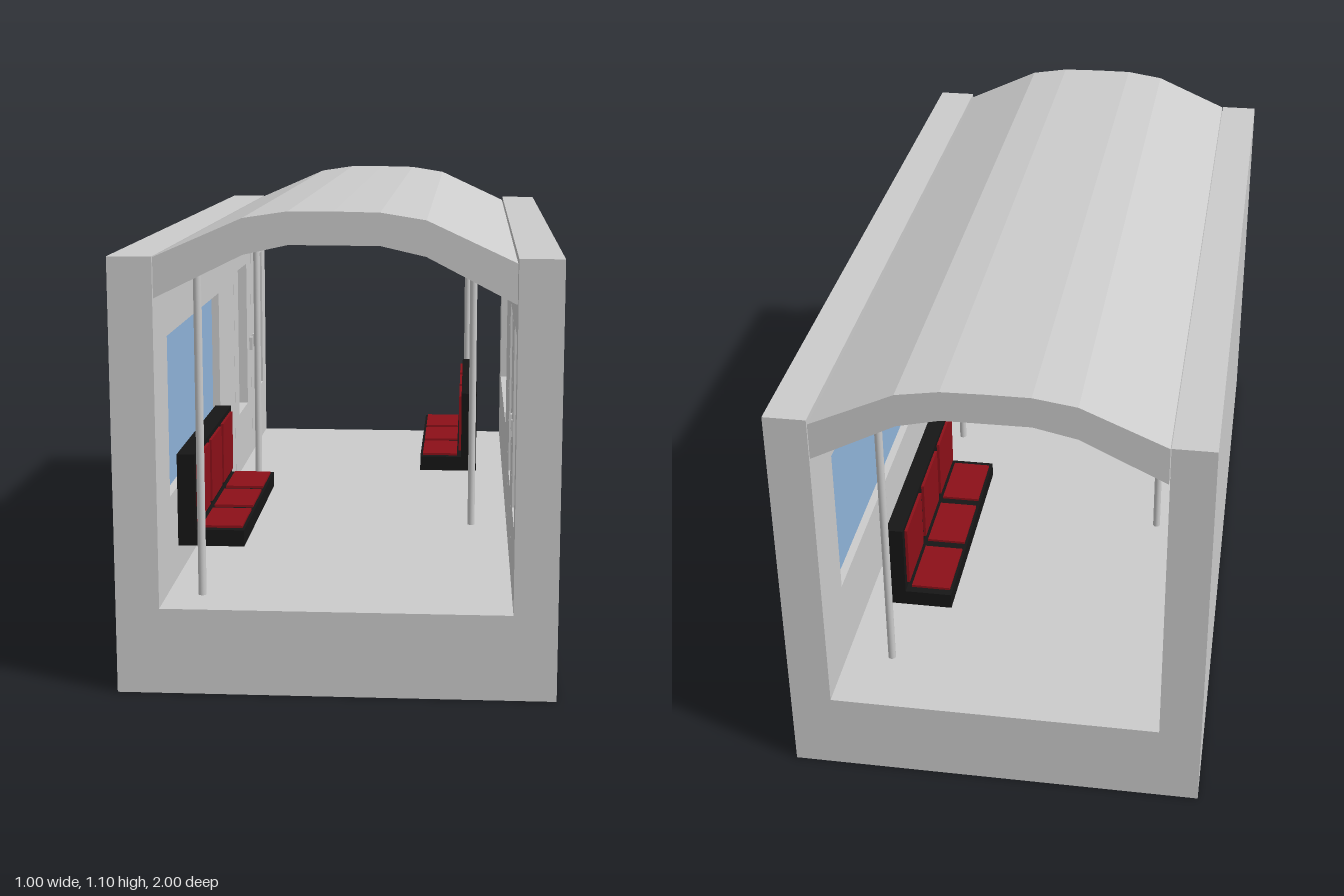
import * as THREE from 'three';

const mat = (color) => new THREE.MeshStandardMaterial({ color });

export function createModel() {
  const grey = mat(0xcccccc), black = mat(0x161616), red = mat(0x8c1018), glass = mat(0x8fb4da);
  const model = new THREE.Group();
  model.name = 'trainCarSection';

  const add = (parent, name, geo, material) => {
    const mesh = new THREE.Mesh(geo, material);
    mesh.name = name;
    parent.add(mesh);
    return mesh;
  };
  // box given by its limits on each axis
  const box = (parent, name, material, [x0, x1], [y0, y1], [z0, z1]) => {
    const mesh = add(parent, name, new THREE.BoxGeometry(x1 - x0, y1 - y0, z1 - z0), material);
    mesh.position.set((x0 + x1) / 2, (y0 + y1) / 2, (z0 + z1) / 2);
    return mesh;
  };
  const rectHole = ([z0, z1], [y0, y1]) => {
    const p = new THREE.Path();
    p.moveTo(z0, y0);
    p.lineTo(z0, y1);
    p.lineTo(z1, y1);
    p.lineTo(z1, y0);
    p.closePath();
    return p;
  };

  box(model, 'floor', grey, [-0.5, 0.5], [0, 0.2], [-1, 1]);

  // arched roof
  const roof = new THREE.Shape([
    [-0.398, 0.908], [-0.2, 1.005], [-0.1, 1.027], [0.1, 1.026], [0.2, 1.003], [0.398, 0.9],
    [0.398, 0.99], [0.2, 1.082], [0.1, 1.098], [0, 1.1], [-0.1, 1.1], [-0.2, 1.085], [-0.398, 0.999],
  ].map(([x, y]) => new THREE.Vector2(x, y)));
  const roofGeo = new THREE.ExtrudeGeometry(roof, { depth: 2, bevelEnabled: false });
  roofGeo.translate(0, 0, -1);
  add(model, 'roof', roofGeo, grey);

  // bench of three seats, back against x = -0.4
  const bench = (parent, z0, shift) => {
    const seat = new THREE.Group();
    seat.name = 'bench';
    seat.position.set(shift, 0, z0);
    parent.add(seat);
    box(seat, 'benchBase', black, [-0.4, -0.24], [0.275, 0.315], [0, 0.61]);
    box(seat, 'benchBack', black, [-0.4, -0.357], [0.315, 0.5], [0, 0.61]);
    for (let i = 0; i < 3; i++) {
      const z = [0.02 + i * 0.2, 0.19 + i * 0.2];
      box(seat, 'seatCushion', red, [-0.345, -0.247], [0.31, 0.321], z);
      box(seat, 'backCushion', red, [-0.36, -0.35], [0.33, 0.488], z);
    }
  };

  // one side of the car, modelled on -x with the doors at the back
  const buildSide = (name, { benchZ, benchShift, poles, handleDepth }) => {
    const side = new THREE.Group();
    side.name = name;
    model.add(side);
    const windowZ = [0.04, 0.835], windowY = [0.42, 0.8];
    const doorY = [0.38, 0.82], doorZ = [[-0.92, -0.73], [-0.535, -0.345]];

    // outer skin, and an inner lining with window pockets and door seams
    box(side, 'outerWall', grey, [-0.5, -0.45], [0.2, 1], [-1, 1]);
    const lining = new THREE.Shape([
      new THREE.Vector2(-1, 0.2), new THREE.Vector2(1, 0.2),
      new THREE.Vector2(1, 1), new THREE.Vector2(-1, 1),
    ]);
    lining.holes.push(rectHole(windowZ, windowY));
    doorZ.forEach((z) => lining.holes.push(rectHole(z, doorY)));
    [-0.632, -0.256].forEach((z) => lining.holes.push(rectHole([z - 0.0015, z + 0.0015], [0.203, 0.93])));
    const wall = add(side, 'innerWall', new THREE.ExtrudeGeometry(lining, { depth: 0.05, bevelEnabled: false }), grey);
    wall.rotation.y = -Math.PI / 2;
    wall.position.x = -0.4;

    // panes and door handles
    box(side, 'windowPane', glass, [-0.449, -0.42], windowY, windowZ);
    doorZ.forEach((z) => box(side, 'doorPane', glass, [-0.452, -0.447], doorY, z));
    [-0.67, -0.594].forEach((z) =>
      box(side, 'doorHandle', grey, [-0.405, -0.4 + handleDepth], [0.54, 0.58], [z - 0.01, z + 0.01]));

    bench(side, benchZ, benchShift);

    // grab poles from floor to ceiling
    poles.forEach(([x, z]) => {
      const h = 0.77;
      const pole = add(side, 'pole', new THREE.CylinderGeometry(0.0095, 0.0095, h, 16), grey);
      pole.position.set(x, 0.2 + h / 2, z);
    });
    return side;
  };

  buildSide('rightSide', {
    benchZ: 0.13, benchShift: 0, handleDepth: 0.01,
    poles: [[-0.319, 0.885], [-0.319, -0.16]],
  });
  // opposite side is the same, turned half round
  buildSide('leftSide', {
    benchZ: 0.09, benchShift: 0.082, handleDepth: 0.003,
    poles: [[-0.288, 0.82], [-0.305, -0.22]],
  }).rotation.y = Math.PI;

  return model;
}
